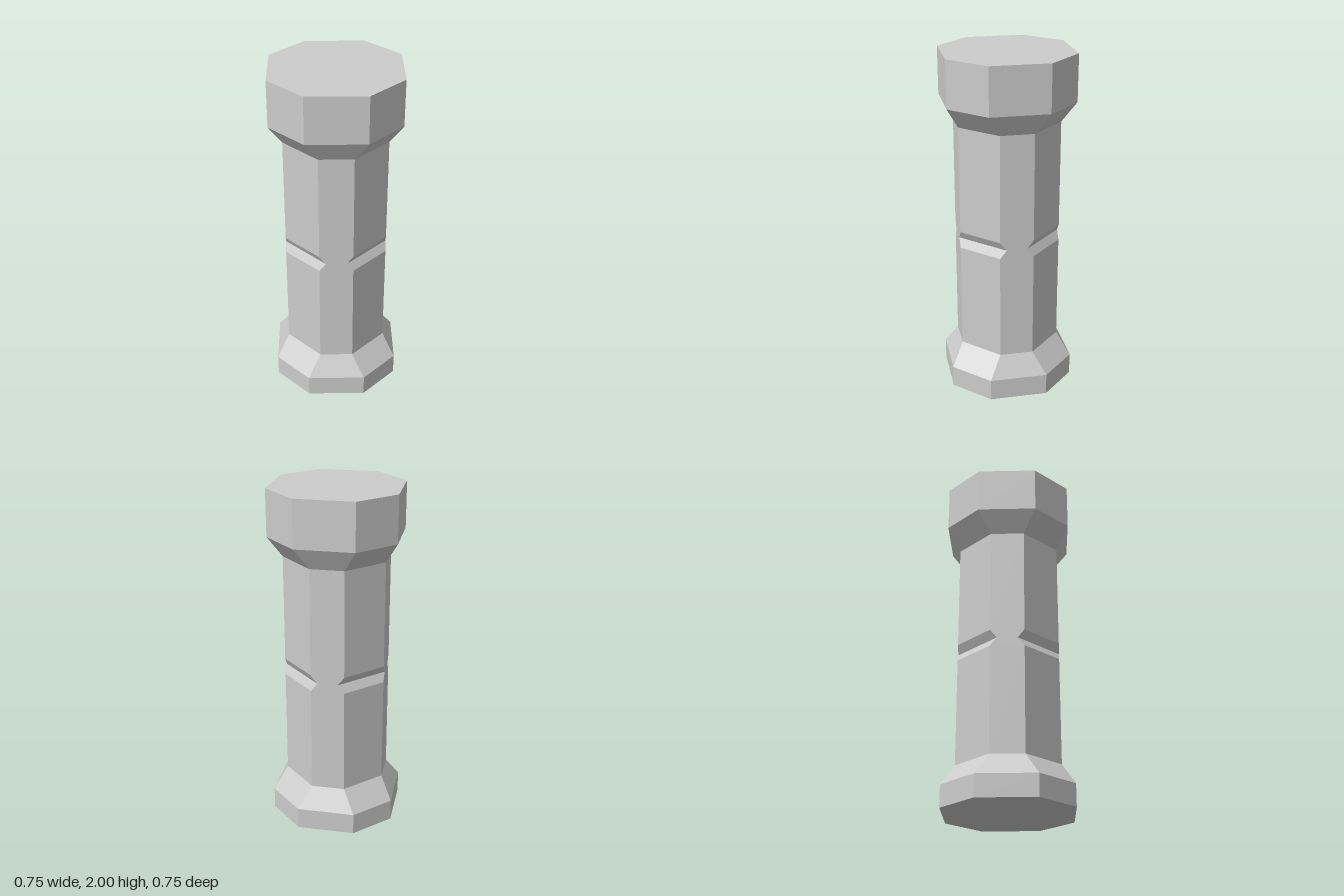
import * as THREE from 'three';

// Eight corners, from the front face round to the left: h = half face width, a = distance of the face
const octagon = (h, a, y) =>
  [[-h, a], [h, a], [a, h], [a, -h], [h, -a], [-h, -a], [-a, -h], [-a, h]]
    .map(([x, z]) => [x, y, z]);

// Flat-faced skin through octagonal rings, with optional end faces
function loft(levels, { bottom = false, top = false } = {}) {
  const rings = levels.map(([h, a, y]) => octagon(h, a, y));
  const pos = [];
  const tri = (...corners) => corners.forEach((c) => pos.push(...c));
  for (let k = 0; k < rings.length - 1; k++) {
    const lo = rings[k], hi = rings[k + 1];
    for (let i = 0; i < 8; i++) {
      const j = (i + 1) % 8;
      tri(lo[i], lo[j], hi[j]);
      tri(lo[i], hi[j], hi[i]);
    }
  }
  const first = rings[0], last = rings[rings.length - 1];
  for (let i = 1; i < 7; i++) {
    if (bottom) tri(first[0], first[i + 1], first[i]);
    if (top) tri(last[0], last[i], last[i + 1]);
  }
  const geometry = new THREE.BufferGeometry();
  geometry.setAttribute('position', new THREE.Float32BufferAttribute(pos, 3));
  geometry.computeVertexNormals();
  return geometry;
}

export function createModel() {
  const group = new THREE.Group();
  group.name = 'pillar';
  const stone = new THREE.MeshStandardMaterial({ color: 0xcccccc });
  stone.name = 'stone grey';

  const add = (name, geometry) => {
    const mesh = new THREE.Mesh(geometry, stone);
    mesh.name = name;
    group.add(mesh);
  };

  const H = 0.1375, SHAFT = 0.274, WIDE = 0.3735, CUT = 0.027;

  // Plinth that slopes in to the shaft
  add('base', loft([[H, WIDE, 0], [H, WIDE, 0.127], [H, SHAFT, 0.254]], { bottom: true }));

  // Shaft with a V-groove across the four main faces; the diagonal faces stay flat
  add('shaft', loft([
    [H, SHAFT, 0.254],
    [H, SHAFT, 0.88],
    [H + CUT, SHAFT - CUT, 0.929],
    [H, SHAFT, 0.978],
    [H, SHAFT, 1.604],
  ]));

  // Capital that flares out to a flat top
  add('capital', loft([[H, SHAFT, 1.604], [H, WIDE, 1.73], [H, WIDE, 2]], { top: true }));

  return group;
}
